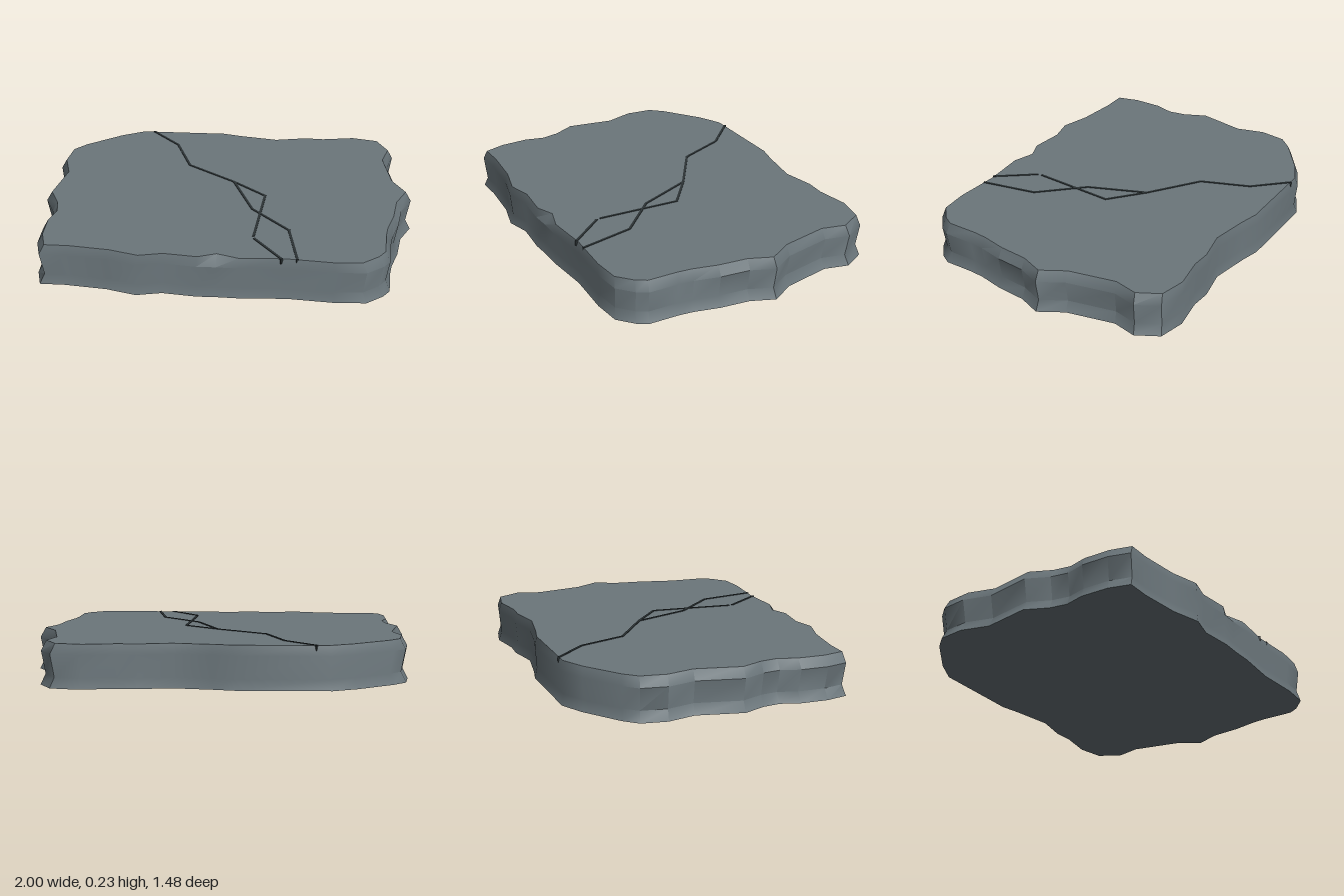
import * as THREE from 'three';
import { toCreasedNormals } from 'three/addons/utils/BufferGeometryUtils.js';

// Broken outline of the slab, x and z, clockwise seen from above
const OUTLINE = [
  [-0.58, -0.735], [-0.09, -0.74], [0.02, -0.715], [0.235, -0.68], [0.41, -0.715], [0.52, -0.71],
  [0.7, -0.74], [0.845, -0.71], [0.91, -0.59], [0.875, -0.46], [0.925, -0.2], [1, -0.07],
  [0.945, 0.055], [0.925, 0.215], [0.89, 0.35], [0.88, 0.43], [0.875, 0.595], [0.84, 0.65],
  [0.755, 0.72], [0.6, 0.73], [0.35, 0.71], [0.11, 0.725], [-0.01, 0.722], [-0.11, 0.725],
  [-0.29, 0.705], [-0.42, 0.735], [-0.58, 0.69], [-0.8, 0.665], [-0.93, 0.665], [-0.96, 0.55],
  [-0.96, 0.4], [-0.93, 0.295], [-0.945, 0.2], [-1, 0.08], [-0.95, -0.17], [-0.99, -0.32],
  [-0.97, -0.46], [-0.905, -0.53], [-0.71, -0.67],
];
const NOTCH = 22; // outline point where the top rim is chipped

// Height and x, z scale of each ring up the side
const RINGS = [[0, 1, 1], [0.055, 0.972, 0.983], [0.175, 0.995, 0.995], [0.228, 0.965, 0.98]];

function slabGeometry() {
  const n = OUTLINE.length;
  const position = [];
  const index = [];
  RINGS.forEach(([y, sx, sz], r) => OUTLINE.forEach(([x, z], i) => {
    const chip = r === RINGS.length - 1 && i === NOTCH ? 0.035 : 0;
    position.push(x * sx, y, z * sz - chip);
  }));

  // Side wall
  for (let r = 0; r < RINGS.length - 1; r++) {
    for (let i = 0; i < n; i++) {
      const a = r * n + i, b = r * n + (i + 1) % n;
      index.push(a, a + n, b, b, a + n, b + n);
    }
  }

  // Flat top and underside
  const cap = (ring, up) => {
    const at = (i) => new THREE.Vector2(position[(ring * n + i) * 3], position[(ring * n + i) * 3 + 2]);
    const points = OUTLINE.map((_, i) => at(i));
    for (const [a, b, c] of THREE.ShapeUtils.triangulateShape(points, [])) {
      const facesUp = points[b].clone().sub(points[a]).cross(points[c].clone().sub(points[a])) < 0;
      const tri = facesUp === up ? [a, b, c] : [a, c, b];
      index.push(...tri.map((i) => ring * n + i));
    }
  };
  cap(0, false);
  cap(RINGS.length - 1, true);

  const geometry = new THREE.BufferGeometry();
  geometry.setAttribute('position', new THREE.Float32BufferAttribute(position, 3));
  geometry.setIndex(index);
  return toCreasedNormals(geometry, 0.66);
}

// Crack paths, x and z
const CRACKS = {
  mainCrack: [[-0.5, -0.722], [-0.34, -0.555], [-0.245, -0.3], [0.02, -0.115], [0.14, 0.19], [0.345, 0.405], [0.4, 0.7]],
  branchCrack: [[0.02, -0.115], [0.2, 0.035], [0.165, 0.48]],
  frontCrack: [[0.17, 0.505], [0.32, 0.7]],
};

export function createModel() {
  const stone = new THREE.MeshStandardMaterial({ color: 0x6b767b });
  stone.name = 'slate grey stone';
  const dark = new THREE.MeshStandardMaterial({ color: 0x2c3335 });
  dark.name = 'dark crack';

  const model = new THREE.Group();
  model.name = 'crackedStoneSlab';

  const slab = new THREE.Mesh(slabGeometry(), stone);
  slab.name = 'slab';
  model.add(slab);

  // Thin strips along each crack, sunk into the top
  for (const [name, path] of Object.entries(CRACKS)) {
    const crack = new THREE.Group();
    crack.name = name;
    for (let i = 0; i < path.length - 1; i++) {
      const [x0, z0] = path[i], [x1, z1] = path[i + 1];
      const length = Math.hypot(x1 - x0, z1 - z0) + 0.006;
      const strip = new THREE.Mesh(new THREE.BoxGeometry(0.013, 0.03, length), dark);
      strip.name = 'crackStrip';
      strip.position.set((x0 + x1) / 2, 0.216, (z0 + z1) / 2);
      strip.rotation.y = Math.atan2(x1 - x0, z1 - z0);
      crack.add(strip);
    }
    model.add(crack);
  }
  return model;
}
